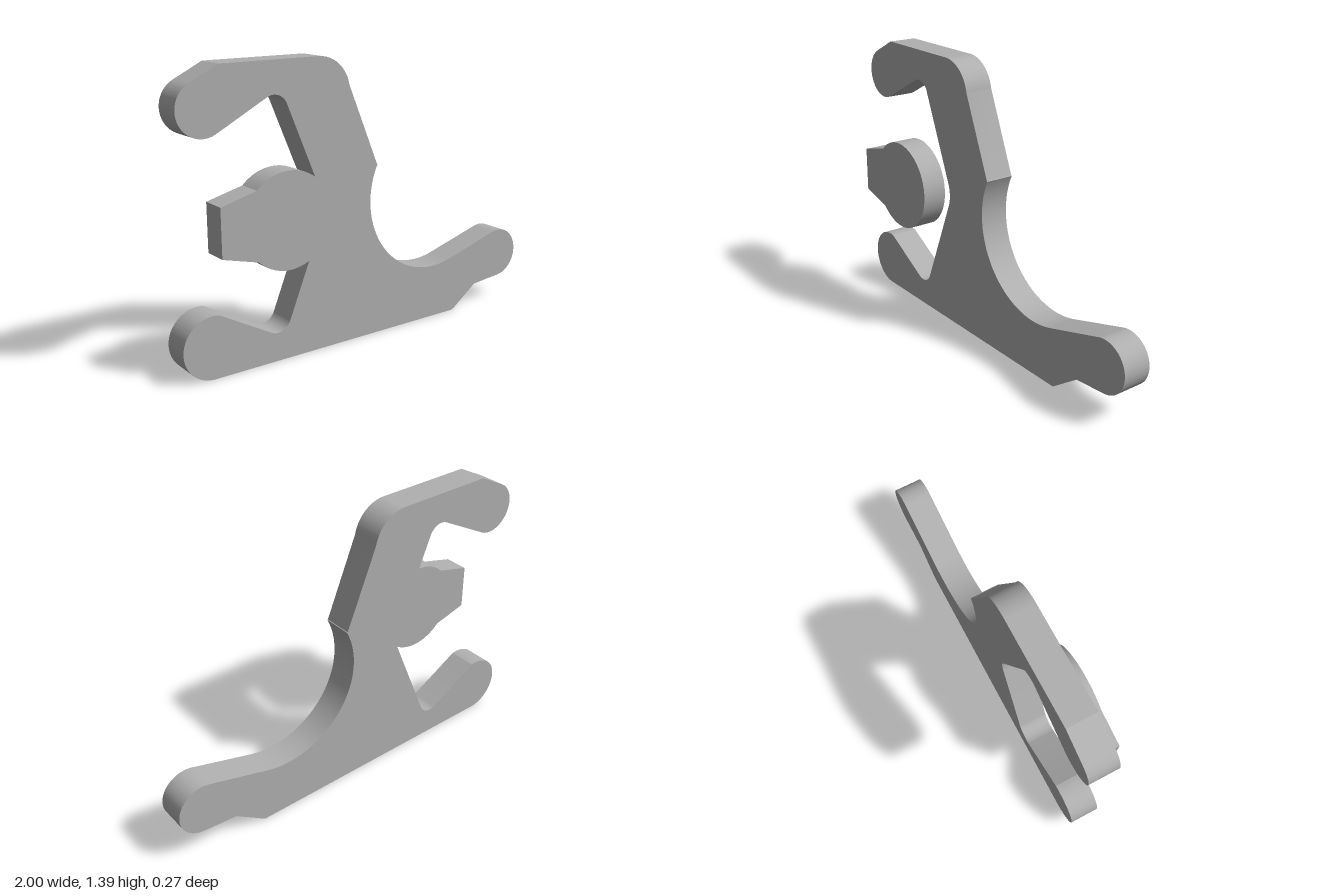
import * as THREE from 'three';
import { toCreasedNormals } from 'three/addons/utils/BufferGeometryUtils.js';

const grey = new THREE.MeshStandardMaterial({ color: 0xb0b0b0 });
grey.name = 'plain grey';

// Arc in degrees; the path joins on with a straight line
function arc(shape, x, y, r, from, to, clockwise = true) {
  const rad = THREE.MathUtils.degToRad;
  shape.absarc(x, y, r, rad(from), rad(to), clockwise);
}

// Flat plate cut to a shape between two depths
function plate(name, shape, back, front) {
  const geometry = new THREE.ExtrudeGeometry(shape, {
    depth: front - back, bevelEnabled: false, curveSegments: 32,
  });
  geometry.translate(0, 0, back);
  const mesh = new THREE.Mesh(toCreasedNormals(geometry, 0.3), grey);
  mesh.name = name;
  return mesh;
}

function bracketShape() {
  const s = new THREE.Shape();
  // upper arm and shoulder
  arc(s, -0.86, 1.205, 0.125, -62, -244);
  s.lineTo(-0.778, 1.386);
  arc(s, -0.28, 1.216, 0.17, 90, 10.5);
  // back edge and large hollow
  s.lineTo(0.047, 0.857);
  arc(s, 0.41, 0.675, 0.402, 153.4, 285.3, false);
  // right arm and foot
  arc(s, 0.871, 0.256, 0.129, 105.3, -85);
  s.lineTo(0.709, 0.112);
  s.lineTo(0.553, 0);
  // lower arm
  arc(s, -0.852, 0.149, 0.149, -90, -281);
  // inner jaw: lower fillet, waist, upper fillet
  arc(s, -0.524, 0.21, 0.072, -118, -22.5, false);
  arc(s, -0.42, 0.695, 0.16, -22.5, 22.5, false);
  arc(s, -0.517, 1.163, 0.072, 22.5, 118, false);
  s.closePath();
  return s;
}

function knobShape() {
  const s = new THREE.Shape();
  // round head with a tapered tail
  arc(s, -0.527, 0.7, 0.224, 135, -135);
  s.lineTo(-0.861, 0.588);
  s.lineTo(-0.861, 0.813);
  s.closePath();
  return s;
}

export function createModel() {
  const group = new THREE.Group();
  group.name = 'bracket with knob';
  group.add(plate('bracket', bracketShape(), -0.134, 0.011));
  group.add(plate('knob', knobShape(), 0.011, 0.134));
  return group;
}
